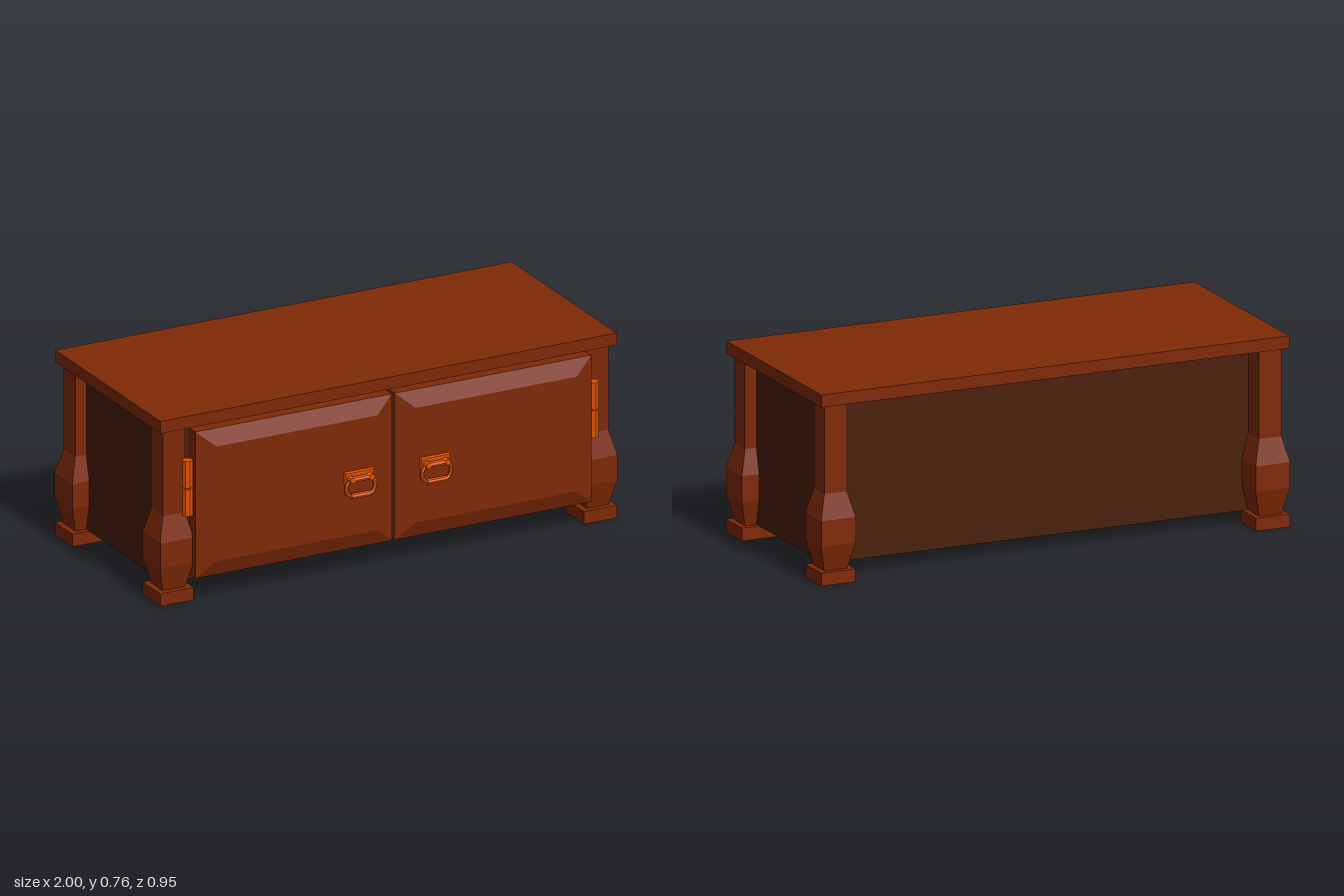
import * as THREE from 'three';

const wood = new THREE.MeshStandardMaterial({ color: 0x7e2905 });
wood.name = 'reddish wood';
const darkWood = new THREE.MeshStandardMaterial({ color: 0x491e06 });
darkWood.name = 'dark wood';
const metal = new THREE.MeshStandardMaterial({ color: 0xdf5000 });
metal.name = 'copper';

// Adds a named mesh
function add(parent, name, geometry, material, x = 0, y = 0, z = 0) {
  const mesh = new THREE.Mesh(geometry, material);
  mesh.name = name;
  mesh.position.set(x, y, z);
  parent.add(mesh);
  return mesh;
}

// Box given by its limits
function addBox(parent, name, material, [x0, x1], [y0, y1], [z0, z1]) {
  return add(parent, name, new THREE.BoxGeometry(x1 - x0, y1 - y0, z1 - z0), material,
    (x0 + x1) / 2, (y0 + y1) / 2, (z0 + z1) / 2);
}

// Separate faces for hard edges
function faceted(geometry) {
  const g = geometry.index ? geometry.toNonIndexed() : geometry;
  g.computeVertexNormals();
  return g;
}

// Box whose front face is inset on all sides
function bevelBox(w, h, d, insetX, insetY) {
  const g = new THREE.BoxGeometry(w, h, d);
  const p = g.attributes.position;
  for (let i = 0; i < p.count; i++) {
    if (p.getZ(i) > 0) {
      p.setX(i, p.getX(i) - Math.sign(p.getX(i)) * insetX);
      p.setY(i, p.getY(i) - Math.sign(p.getY(i)) * insetY);
    }
  }
  return faceted(g);
}

// Square leg with a swollen lower part, on a square foot
function makeLeg() {
  const leg = new THREE.Group();
  leg.name = 'leg';
  const profile = [[0.048, 0.05], [0.0735, 0.157], [0.0735, 0.26], [0.048, 0.36], [0.048, 0.717]]
    .map(([half, y]) => new THREE.Vector2(half * Math.SQRT2, y));
  add(leg, 'legPost', faceted(new THREE.LatheGeometry(profile, 4, Math.PI / 4)), wood);
  addBox(leg, 'foot', wood, [-0.0725, 0.0725], [0, 0.052], [-0.0725, 0.0725]);
  return leg;
}

// Drop handle: back plate, two knobs and a hanging bail
function makeHandle() {
  const handle = new THREE.Group();
  handle.name = 'handle';
  add(handle, 'backPlate', bevelBox(0.132, 0.05, 0.014, 0.004, 0.004), metal, 0, 0.405, 0.446);
  for (const s of [-1, 1]) {
    const knob = add(handle, 'knob', faceted(new THREE.CylinderGeometry(0.012, 0.016, 0.024, 8)),
      metal, s * 0.042, 0.402, 0.463);
    knob.rotation.x = Math.PI / 2;
  }
  const bar = add(handle, 'crossBar', faceted(new THREE.CylinderGeometry(0.013, 0.013, 0.092, 8)),
    metal, 0, 0.402, 0.462);
  bar.rotation.z = Math.PI / 2;
  const path = new THREE.CatmullRomCurve3(
    [[-0.046, 0.402], [-0.064, 0.37], [-0.05, 0.335], [0, 0.331], [0.05, 0.335], [0.064, 0.37], [0.046, 0.402]]
      .map(([x, y]) => new THREE.Vector3(x, y, 0.459)));
  add(handle, 'bail', faceted(new THREE.TubeGeometry(path, 18, 0.008, 6)), metal);
  const grip = add(handle, 'grip', faceted(new THREE.CylinderGeometry(0.012, 0.012, 0.085, 8)),
    metal, 0, 0.332, 0.459);
  grip.rotation.z = Math.PI / 2;
  return handle;
}

// Hinge: two knuckles on a pin
function makeHinge() {
  const hinge = new THREE.Group();
  hinge.name = 'hinge';
  for (const y of [0.413, 0.53]) {
    add(hinge, 'knuckle', faceted(new THREE.CylinderGeometry(0.022, 0.022, 0.111, 8)), metal, 0, y, 0.39);
  }
  add(hinge, 'pin', new THREE.CylinderGeometry(0.014, 0.014, 0.22, 8), metal, 0, 0.47, 0.39);
  return hinge;
}

export function createModel() {
  const model = new THREE.Group();
  model.name = 'lowCabinet';

  // Top, and carcass running into the middle of the legs
  addBox(model, 'top', wood, [-0.998, 0.998], [0.715, 0.765], [-0.471, 0.39]);
  addBox(model, 'carcass', darkWood, [-0.927, 0.927], [0.052, 0.716], [-0.349, 0.3]);

  // Four corner legs
  for (const x of [-0.9265, 0.9265]) {
    for (const z of [0.3175, -0.4]) {
      const leg = makeLeg();
      leg.position.set(x, 0, z);
      model.add(leg);
    }
  }

  // Two doors with raised panels, handles and hinges
  const front = new THREE.Group();
  front.name = 'doors';
  front.position.x = 0.007;
  model.add(front);
  for (const s of [-1, 1]) {
    const x = s * 0.436;
    add(front, 'door', new THREE.BoxGeometry(0.86, 0.607, 0.05), wood, x, 0.4015, 0.39);
    add(front, 'doorPanel', bevelBox(0.86, 0.607, 0.026, 0.078, 0.066), wood, x, 0.4015, 0.428);
    const handle = makeHandle();
    handle.position.x = s * 0.166;
    front.add(handle);
    const hinge = makeHinge();
    hinge.position.x = s * 0.888;
    front.add(hinge);
  }
  return model;
}
